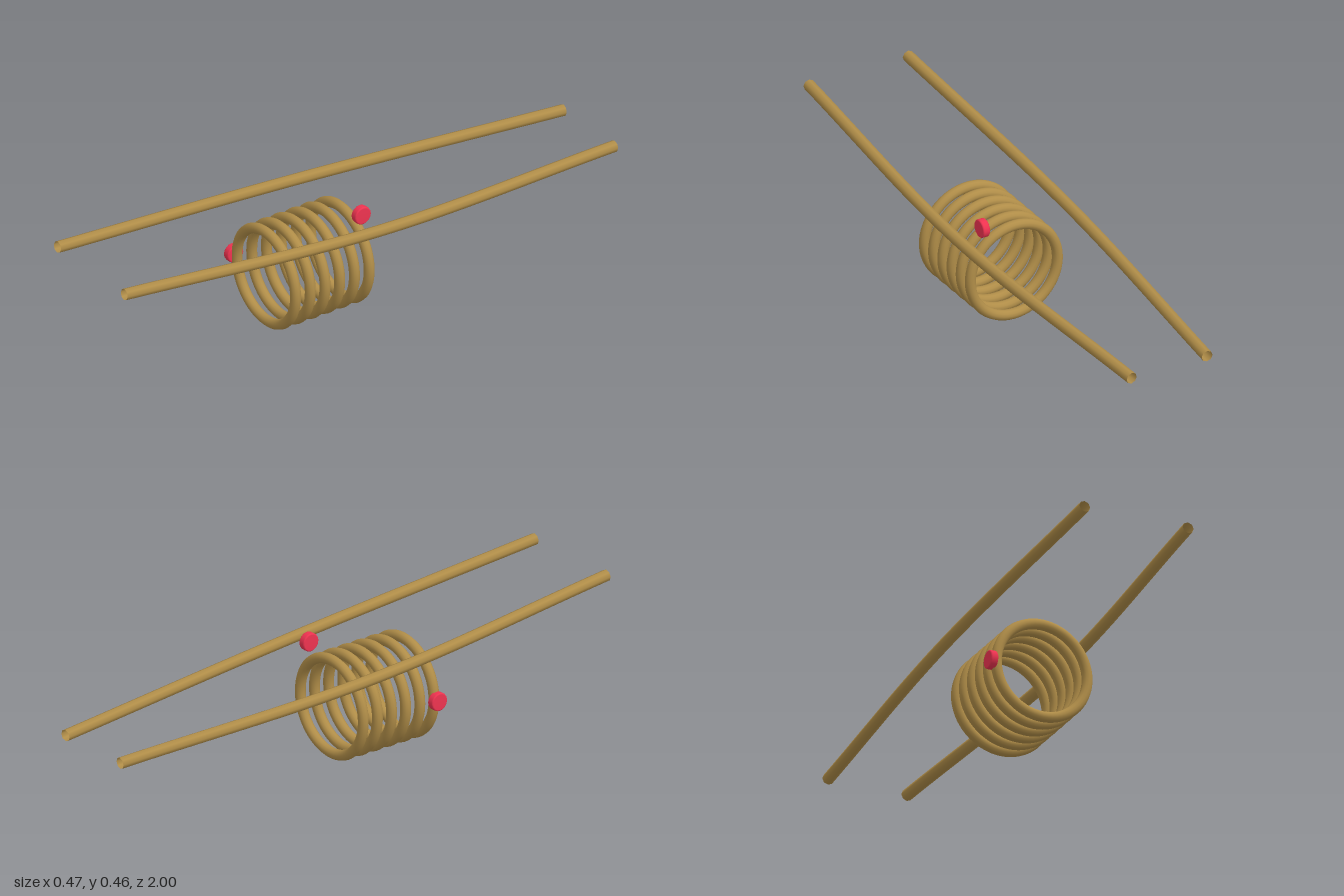
import * as THREE from 'three';

export function createModel() {
  const model = new THREE.Group();
  model.name = 'coilWithRails';
  const brass = new THREE.MeshStandardMaterial({ color: 0xb08d48, side: THREE.DoubleSide });
  const red = new THREE.MeshStandardMaterial({ color: 0xee3350 });

  const add = (name, geometry, material, x = 0, y = 0, z = 0) => {
    const mesh = new THREE.Mesh(geometry, material);
    mesh.name = name;
    mesh.position.set(x, y, z);
    model.add(mesh);
    return mesh;
  };

  // Row of rings
  const ring = new THREE.TorusGeometry(0.165, 0.018, 12, 64);
  for (let i = 0; i < 6; i++) add('ring' + (i + 1), ring, brass, 0, 0.184, i * 0.059);

  // Two long bowed rails, open at the ends
  for (const [name, side] of [['leftRail', 1], ['rightRail', -1]]) {
    const path = new THREE.CatmullRomCurve3([
      new THREE.Vector3(side * 0.188, 0.443, 0.998),
      new THREE.Vector3(side * 0.213, 0.355, 0),
      new THREE.Vector3(side * 0.143, 0.305, -0.998),
    ]);
    add(name, new THREE.TubeGeometry(path, 32, 0.02, 8, false), brass);
  }

  // Small round-edged discs facing sideways
  const r = 0.032, h = 0.013, b = 0.005;
  const profile = [new THREE.Vector2(0, -h), new THREE.Vector2(r - b, -h)];
  for (let i = 1; i <= 3; i++) {
    const a = (i / 3) * Math.PI / 2;
    profile.push(new THREE.Vector2(r - b + b * Math.sin(a), -h + b - b * Math.cos(a)));
  }
  for (let i = profile.length - 1; i >= 0; i--) profile.push(new THREE.Vector2(profile[i].x, -profile[i].y));
  const disc = new THREE.LatheGeometry(profile, 16).rotateZ(Math.PI / 2);
  add('frontDisc', disc, red, -0.184, 0.185, 0.295);
  add('backDisc', disc, red, 0.12, 0.374, 0);

  return model;
}
